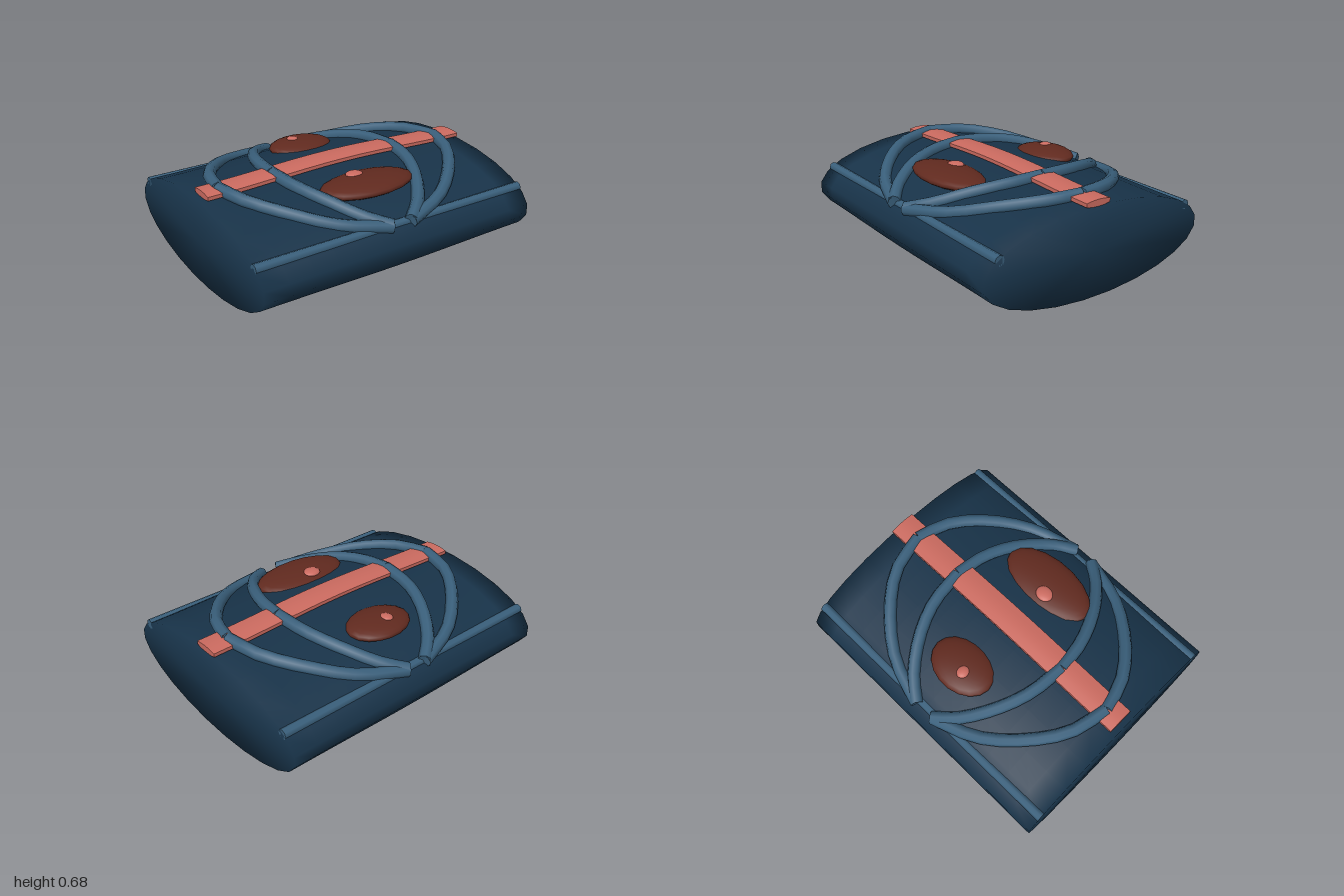
import * as THREE from 'three';
import { mergeVertices } from 'three/addons/utils/BufferGeometryUtils.js';

const paint = (color) => new THREE.MeshStandardMaterial({ color });
const navy = paint(0x183349);
const steel = paint(0x3a607c);
const coral = paint(0xcc6b60);
const brown = paint(0x612a1f);

// Soft swelling along the length: 0 at the ends, 1 in the middle
const swell = (x) => Math.cos((Math.min(1, Math.abs(x)) * Math.PI) / 2) ** 2;

// Apply a rule to every vertex, then refresh the normals
function reshape(geo, rule) {
  const p = geo.attributes.position;
  const v = new THREE.Vector3();
  for (let i = 0; i < p.count; i++) {
    rule(v.fromBufferAttribute(p, i));
    p.setXYZ(i, v.x, v.y, v.z);
  }
  geo.computeVertexNormals();
  return geo;
}

function add(group, name, geo, material, x = 0, y = 0, z = 0) {
  const mesh = new THREE.Mesh(geo, material);
  mesh.name = name;
  mesh.position.set(x, y, z);
  group.add(mesh);
  return mesh;
}

// Oval bolster with ends shaded smoothly into the sides
function bodyGeometry() {
  let geo = new THREE.CylinderGeometry(1, 1, 2, 24, 12, false, Math.PI / 24);
  geo.rotateZ(Math.PI / 2);
  geo.deleteAttribute('normal');
  geo.deleteAttribute('uv');
  geo = mergeVertices(geo, 1e-4);
  return reshape(geo, (v) => {
    v.y = 0.32 + v.y * (0.29 + 0.028 * swell(v.x));
    v.z *= 0.833;
  });
}

// Capped tube through a few points
function cordGeometry(points, radius) {
  const curve = new THREE.CatmullRomCurve3(points);
  const parts = new THREE.Group();
  add(parts, 'cord', new THREE.TubeGeometry(curve, 10, radius, 8), steel);
  for (const t of [0, 1]) {
    const cap = add(parts, 'cordEnd', new THREE.CircleGeometry(radius, 8), steel);
    const out = curve.getTangent(t).multiplyScalar(t ? 1 : -1);
    cap.position.copy(curve.getPoint(t));
    cap.quaternion.setFromUnitVectors(new THREE.Vector3(0, 0, 1), out);
  }
  return parts;
}

export function createModel() {
  const model = new THREE.Group();
  model.name = 'decoratedBolster';

  add(model, 'body', bodyGeometry(), navy);

  // Long rails let into the upper flanks
  for (const s of [-1, 1]) {
    const rail = new THREE.CylinderGeometry(0.033, 0.033, 2, 8).rotateZ(Math.PI / 2);
    add(model, s > 0 ? 'frontRail' : 'backRail', rail, steel, 0, 0.452, 0.72 * s);
  }

  // Central strap, thinner at its edges and bowed along the body
  const strap = reshape(new THREE.BoxGeometry(1.96, 0.044, 0.18, 14, 1, 4), (v) => {
    v.y *= 1 - 0.45 * (v.z / 0.09) ** 2;
    v.y += 0.628 + 0.03 * swell(v.x);
  });
  add(model, 'strap', strap, coral, 0.02, 0, 0.02);

  // Curved cords: two bows each side, each made of two quarter lengths
  const heights = [0.64, 0.627, 0.588, 0.52, 0.472];
  const depths = [0, 0.23, 0.45, 0.645, 0.755];
  const bows = {
    outer: [0.845, 0.785, 0.625, 0.38, 0.07],
    inner: [0.465, 0.435, 0.345, 0.205, 0.07],
  };
  for (const [name, xs] of Object.entries(bows)) {
    const lift = name === 'inner' ? 0.003 : -0.005;
    for (const sx of [-1, 1]) {
      for (const sz of [-1, 1]) {
        const points = xs.map((x, i) =>
          new THREE.Vector3(sx * x, heights[i] + lift, sz * depths[i] + (i ? 0 : 0.015)));
        const cord = cordGeometry(points, 0.042);
        cord.name = name + (sx > 0 ? 'Left' : 'Right') + (sz > 0 ? 'Front' : 'Back') + 'Cord';
        model.add(cord);
      }
    }
  }

  // Oval bosses with a small button on each
  const oval = (rx, ry, rz) => new THREE.SphereGeometry(1, 18, 12).scale(rx, ry, rz);
  add(model, 'frontBoss', oval(0.34, 0.052, 0.18), brown, 0, 0.6, 0.39);
  add(model, 'backBoss', oval(0.23, 0.052, 0.172), brown, 0, 0.6, -0.4);
  add(model, 'frontButton', oval(0.06, 0.02, 0.052), coral, -0.04, 0.642, 0.31);
  add(model, 'backButton', oval(0.04, 0.02, 0.045), coral, -0.04, 0.642, -0.435);

  return model;
}
